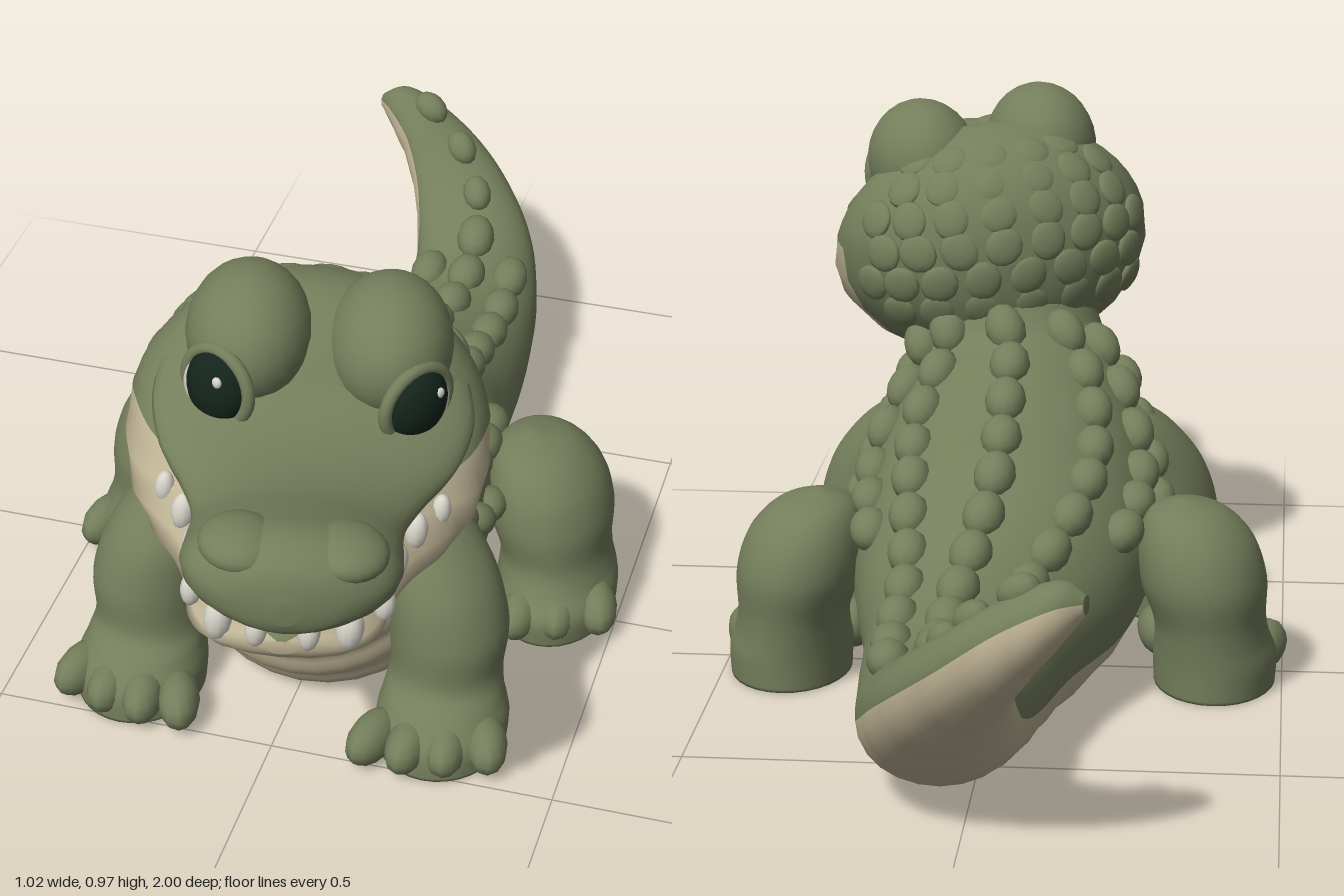
import * as THREE from 'three';

const mat = (name, color) => {
  const m = new THREE.MeshStandardMaterial({ color });
  m.name = name;
  return m;
};
const green = mat('olive skin', 0x747e5b);
const beige = mat('belly beige', 0xbeb394);
const black = mat('eye dark', 0x14241c);
const white = mat('tooth white', 0xd8d5cb);

const UP = 20, LOW = 12, N = UP + LOW; // ring steps on the upper and lower arcs
const ball = new THREE.SphereGeometry(1, 24, 16);
const pebble = new THREE.SphereGeometry(1, 12, 8);

// Station: [x, topY, topZ, bottomY, bottomZ, halfWidth, colourSplit, yaw]
function sample(st, u) {
  u = Math.min(Math.max(u, 0), st.length - 1);
  const i = Math.min(Math.floor(u), st.length - 2), t = u - i;
  const a = st[Math.max(i - 1, 0)], b = st[i], c = st[i + 1], d = st[Math.min(i + 2, st.length - 1)];
  return b.map((v, k) => v + 0.5 * t * (c[k] - a[k] + t * (2 * a[k] - 5 * v + 4 * c[k] - d[k]
    + t * (3 * (v - c[k]) + d[k] - a[k]))));
}

// Point on a cross-section, angle 0 at the top edge, growing toward +x
function pointOn(st, u, th, swell = 1) {
  const [x, ty, tz, by, bz, w, , yaw] = sample(st, u);
  const s = Math.sin(th) * w * swell, c = Math.cos(th) * 0.5 * swell;
  return new THREE.Vector3(
    x + s * Math.cos(yaw),
    Math.max(0, (ty + by) / 2 + c * (ty - by)),
    (tz + bz) / 2 + c * (tz - bz) - s * Math.sin(yaw));
}

function loft(name, st, { steps = 6, lowerUntil = 0, bands = 0 } = {}) {
  const pos = [], tris = [[], []], rings = (st.length - 1) * steps;
  for (let i = 0; i <= rings; i++) {
    const u = i / steps, split = Math.acos(THREE.MathUtils.clamp(sample(st, u)[6], -0.97, 0.97));
    for (let j = 0; j < N; j++) {
      const k = (j - UP) / LOW;
      const th = j <= UP ? -split + 2 * split * j / UP : split + (2 * Math.PI - 2 * split) * k;
      const swell = j > UP && bands
        ? 1 + 0.04 * Math.abs(Math.sin(Math.PI * u * bands)) * Math.sqrt(Math.sin(Math.PI * k)) : 1;
      pos.push(...pointOn(st, u, th, swell).toArray());
    }
  }
  for (let i = 0; i < rings; i++) for (let j = 0; j < N; j++) {
    const a = i * N + j, b = i * N + (j + 1) % N;
    tris[j >= UP && i / steps < lowerUntil ? 1 : 0].push(a, b, a + N, b, b + N, a + N);
  }
  // End caps
  for (const [i, u, flip] of [[0, 0, true], [rings, st.length - 1, false]]) {
    const p = pointOn(st, u, 0).add(pointOn(st, u, Math.PI)).multiplyScalar(0.5);
    const c = pos.length / 3;
    pos.push(p.x, p.y, p.z);
    for (let j = 0; j < N; j++) {
      const a = i * N + j, b = i * N + (j + 1) % N;
      tris[u < lowerUntil ? 1 : 0].push(c, flip ? b : a, flip ? a : b);
    }
  }
  const g = new THREE.BufferGeometry();
  g.setAttribute('position', new THREE.Float32BufferAttribute(pos, 3));
  g.setIndex([...tris[0], ...tris[1]]);
  g.addGroup(0, tris[0].length, 0);
  g.addGroup(tris[0].length, tris[1].length, 1);
  g.computeVertexNormals();
  const mesh = new THREE.Mesh(g, [green, beige]);
  mesh.name = name;
  return mesh;
}

function blob(parent, name, material, p, s, geo = ball) {
  const m = new THREE.Mesh(geo, material);
  m.name = name;
  m.position.set(...p);
  m.scale.set(...s);
  parent.add(m);
  return m;
}

function group(name, parent) {
  const g = new THREE.Group();
  g.name = name;
  if (parent) parent.add(g);
  return g;
}

// Neck, chest, trunk and the upturned tail
const BODY = [
  [0.04, 0.70, 0.28, 0.56, 0.52, 0.16, -0.3, 0],
  [0.02, 0.58, 0.22, 0.45, 0.535, 0.18, -0.3, 0],
  [0.00, 0.55, 0.18, 0.33, 0.485, 0.20, -0.35, 0],
  [0.00, 0.53, 0.13, 0.20, 0.44, 0.23, -0.4, 0],
  [0.00, 0.50, 0.06, 0.08, 0.38, 0.26, -0.45, 0],
  [0.00, 0.46, -0.02, -0.01, 0.27, 0.275, -0.45, 0],
  [0.00, 0.42, -0.12, -0.02, 0.05, 0.265, -0.4, 0],
  [0.01, 0.37, -0.22, -0.02, -0.15, 0.235, -0.35, 0],
  [0.03, 0.31, -0.36, -0.02, -0.34, 0.18, -0.25, 0],
  [0.045, 0.275, -0.50, -0.01, -0.50, 0.155, -0.2, 0],
  [0.05, 0.265, -0.62, 0.01, -0.60, 0.14, -0.1, 0.05],
  [0.045, 0.285, -0.725, 0.045, -0.69, 0.13, 0, 0.2],
  [0.025, 0.335, -0.82, 0.11, -0.775, 0.115, 0.1, 0.45],
  [-0.03, 0.40, -0.895, 0.20, -0.86, 0.092, 0.2, 0.75],
  [-0.10, 0.455, -0.93, 0.30, -0.932, 0.066, 0.3, 1.0],
  [-0.165, 0.48, -0.95, 0.38, -0.957, 0.043, 0.3, 1.2],
  [-0.205, 0.46, -0.955, 0.43, -0.955, 0.012, 0.3, 1.25],
];

// Raised scales walked along the back at even spacing
function addScutes(parent) {
  const g = group('backScutes', parent), e = 0.01;
  const rows = [[0, 1.2, 15, 0.042], [0.62, 1.2, 11, 0.041], [1.05, 1.4, 7, 0.041], [1.4, 2, 5.4, 0.036]];
  for (const [angle, from, to, size] of rows) for (const side of angle ? [-1, 1] : [1]) {
    const th = angle * side;
    let last = null;
    for (let u = from; u < to; u += 0.02) {
      const p = pointOn(BODY, u, th);
      if (last && p.distanceTo(last) < size * 2.4) continue;
      last = p;
      const z = p.clone().sub(pointOn(BODY, u + e, th)).normalize();
      const y = z.clone().cross(pointOn(BODY, u, th + e).sub(p)).normalize();
      const x = y.clone().cross(z);
      const k = u > 12 ? 0.75 : 1;
      const m = blob(g, 'scute', green, p.toArray(), [size * 0.88 * k, size * 0.88 * k, size * 1.2 * k], pebble);
      m.quaternion.setFromRotationMatrix(new THREE.Matrix4().makeBasis(x, y, z));
    }
  }
}

// Leg from horizontal ovals: [y, x, z, halfWidth, halfDepth], with four fanned toes
function addLeg(parent, name, side, ovals, toeX, toeZ, splay) {
  const g = group(name, parent);
  g.add(loft('limb', ovals.map(([y, x, z, rx, rz]) => [x * side, y, z + rz, y, z - rz, rx, -0.3, 0])));
  for (let i = 0; i < 4; i++) {
    const k = i - 1.5;
    const toe = blob(g, 'toe', green, [side * (toeX + k * 0.064), 0.043, toeZ - Math.abs(k) * 0.014 - k * splay],
      [0.037, 0.044, 0.068], pebble);
    toe.rotation.y = side * k * 0.2;
  }
}
const FRONT_LEG = [[0, 0.275, 0.385, 0.112, 0.13], [0.05, 0.275, 0.38, 0.115, 0.13], [0.09, 0.272, 0.362, 0.104, 0.116],
  [0.13, 0.27, 0.335, 0.098, 0.105], [0.21, 0.27, 0.325, 0.103, 0.11], [0.30, 0.25, 0.31, 0.095, 0.105],
  [0.38, 0.215, 0.28, 0.07, 0.085], [0.43, 0.18, 0.25, 0.035, 0.04], [0.445, 0.17, 0.24, 0.005, 0.005]];
const HIND_LEG = [[0, 0.38, -0.04, 0.108, 0.15], [0.05, 0.38, -0.04, 0.11, 0.152], [0.09, 0.375, -0.055, 0.102, 0.14],
  [0.13, 0.37, -0.065, 0.1, 0.135], [0.2, 0.358, -0.07, 0.112, 0.142], [0.27, 0.345, -0.07, 0.102, 0.125],
  [0.32, 0.33, -0.07, 0.068, 0.083], [0.342, 0.32, -0.07, 0.008, 0.01]];

// Head sections: [z, halfWidth, top, bottom, colourSplit], tip to back; the snout bends slightly
const bend = z => -0.08 * Math.max(0, z - 0.15);
const headRows = rows => rows.map(([z, w, t, b, f]) => [bend(z), t, z, b, z, w, f, 0]);
const SKULL = headRows([
  [0.565, 0.02, 0.645, 0.62, 0.95], [0.54, 0.11, 0.655, 0.595, 0.95], [0.48, 0.15, 0.66, 0.573, 0.95],
  [0.40, 0.163, 0.665, 0.553, 0.95], [0.32, 0.19, 0.675, 0.528, 0.95], [0.24, 0.238, 0.71, 0.5, 0.85],
  [0.16, 0.28, 0.78, 0.48, 0.5], [0.08, 0.296, 0.87, 0.465, 0.28], [0, 0.29, 0.912, 0.463, 0.12],
  [-0.08, 0.255, 0.90, 0.487, 0.1], [-0.15, 0.185, 0.85, 0.53, 0.1], [-0.19, 0.1, 0.78, 0.595, 0.1],
  [-0.205, 0.01, 0.70, 0.68, 0.1]]);
const SNOUT = headRows([
  [0.59, 0.02, 0.735, 0.695, 0], [0.577, 0.09, 0.78, 0.67, 0], [0.545, 0.145, 0.808, 0.657, 0],
  [0.50, 0.168, 0.815, 0.65, 0], [0.44, 0.168, 0.80, 0.648, 0], [0.36, 0.166, 0.778, 0.648, 0],
  [0.28, 0.193, 0.772, 0.65, 0], [0.20, 0.236, 0.785, 0.66, 0], [0.12, 0.258, 0.82, 0.685, 0],
  [0.05, 0.25, 0.85, 0.715, 0]]);

function addEye(head, side) {
  blob(head, 'browDome', green, [side * 0.113, 0.85, 0.045], [0.102, 0.112, 0.13]);
  const eye = group('eye', head);
  eye.position.set(side * 0.157, 0.814, 0.153);
  eye.quaternion.setFromUnitVectors(new THREE.Vector3(0, 0, 1),
    new THREE.Vector3(side * 0.62, 0, 0.77).normalize());
  blob(eye, 'eyeWhite', white, [side * 0.007, -0.01, 0], [0.058, 0.055, 0.03]);
  blob(eye, 'iris', black, [0, 0, 0.002], [0.056, 0.063, 0.036]);
  blob(eye, 'glint', white, [0.02, 0.028, 0.029], [0.009, 0.01, 0.006], pebble);
  const lid = new THREE.Mesh(new THREE.TorusGeometry(0.063, 0.011, 10, 32), green);
  lid.name = 'eyelid';
  eye.add(lid);
}

function addHead(parent) {
  // Turned to its left and tilted a little about the middle of the skull
  const pivot = group('headPivot', parent);
  pivot.position.set(0.052, 0.69, 0.42);
  pivot.rotation.set(0, THREE.MathUtils.degToRad(16), THREE.MathUtils.degToRad(-6), 'YXZ');
  const head = group('head', pivot);
  head.position.y = -0.69;
  head.add(loft('skullAndJaw', SKULL, { lowerUntil: 8 }), loft('snout', SNOUT));
  for (const side of [-1, 1]) {
    addEye(head, side);
    blob(head, 'nostrilBump', green, [bend(0.5) + side * 0.08, 0.78, 0.505], [0.065, 0.036, 0.065]);
    // Upper teeth hanging from the lip
    for (const [x, z, s] of [[0.04, 0.556, 0.9], [0.1, 0.535, 1.15], [0.148, 0.47, 0.9], [0.156, 0.36, 1.1],
      [0.184, 0.28, 1], [0.22, 0.22, 0.85]])
      blob(head, 'tooth', white, [bend(z) + side * x, 0.657, z], [0.019 * s, 0.034 * s, 0.019 * s], pebble);
  }
  // Pebbled scales over the back of the skull
  const scales = group('headScales', head);
  for (let r = 0; r < 6; r++) {
    const el = -0.4 + r * 0.27, count = Math.max(3, Math.round(8 * Math.cos(el)));
    for (let i = 0; i < count; i++) {
      const az = ((i + 0.5) / count - 0.5) * 2.4 + (r % 2 ? 0.08 : -0.08);
      const n = new THREE.Vector3(Math.sin(az) * Math.cos(el), Math.sin(el), -Math.cos(az) * Math.cos(el));
      const m = blob(scales, 'headScale', green, [n.x * 0.28, 0.69 + n.y * 0.22, n.z * 0.2],
        [0.038, 0.034, 0.012], pebble);
      m.quaternion.setFromUnitVectors(new THREE.Vector3(0, 0, 1),
        new THREE.Vector3(n.x / 0.28, n.y / 0.22, n.z / 0.2).normalize());
    }
  }
}

export function createModel() {
  const model = group('crocodile');
  model.add(loft('bodyAndTail', BODY, { steps: 12, lowerUntil: 16, bands: 1.4 }));
  addScutes(model);
  for (const [side, label] of [[1, 'left'], [-1, 'right']]) {
    addLeg(model, label + 'FrontLeg', side, FRONT_LEG, 0.272, 0.478, 0.012);
    addLeg(model, label + 'HindLeg', side, HIND_LEG, 0.372, 0.07, 0.02);
  }
  addHead(model);
  return model;
}
